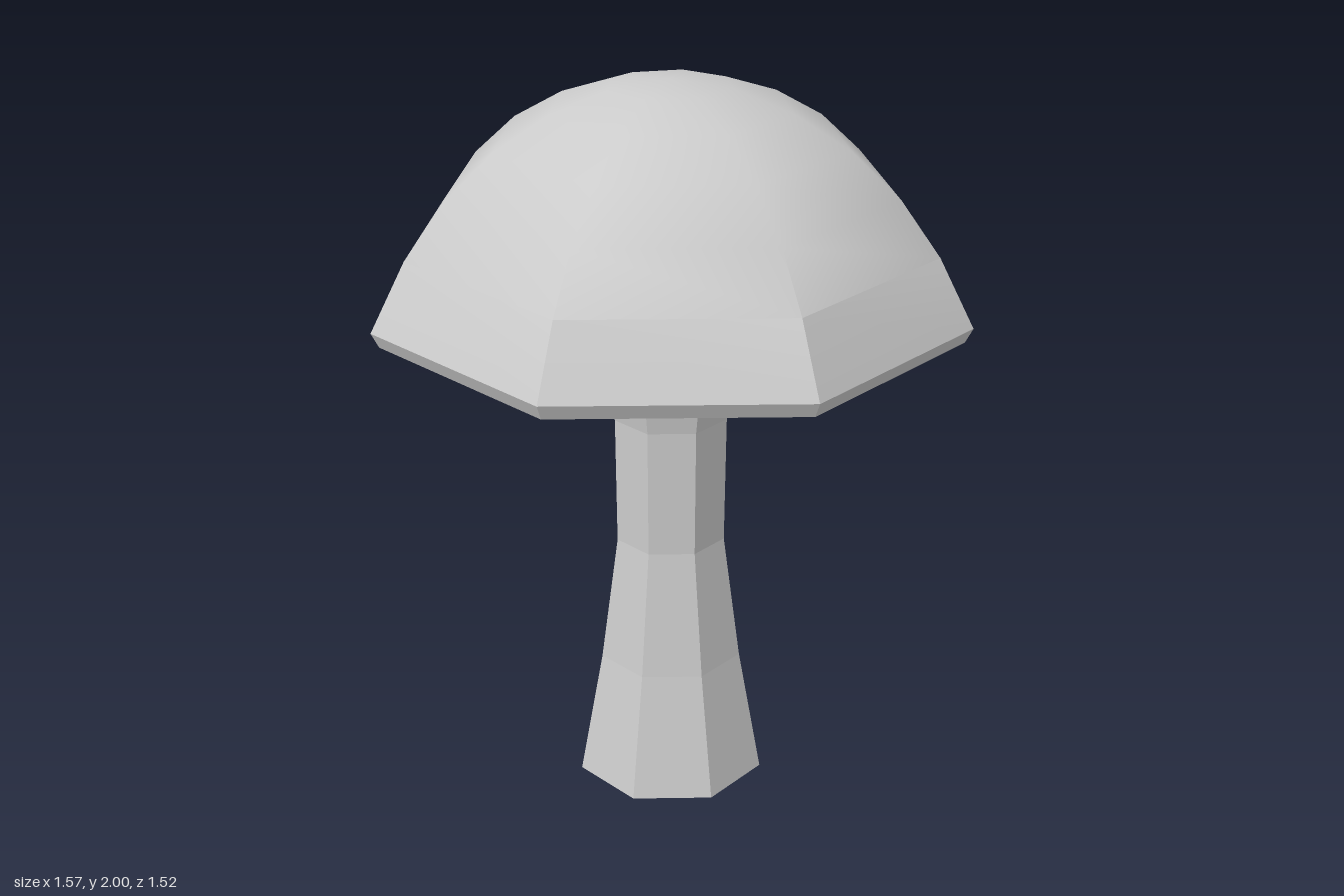
import * as THREE from 'three';
import { toCreasedNormals } from 'three/addons/utils/BufferGeometryUtils.js';

// Seven wide sides (48 degrees) and one narrow side (24 degrees)
const sideAngle = (i) => THREE.MathUtils.degToRad(156 + 48 * i - (i >= 2 ? 24 : 0));

// Lathe a profile of [radius, y], then respace its sides unevenly
function unevenLathe(profile) {
  const points = profile.map(([r, y]) => new THREE.Vector2(r, y));
  const geometry = new THREE.LatheGeometry(points, 8);
  const position = geometry.attributes.position;
  for (let k = 0; k < position.count; k++) {
    const angle = sideAngle(Math.floor(k / points.length));
    const { x: r, y } = points[k % points.length];
    position.setXYZ(k, r * Math.sin(angle), y, r * Math.cos(angle));
  }
  return geometry;
}

export function createModel() {
  const group = new THREE.Group();
  group.name = 'mushroom';
  const smooth = new THREE.MeshStandardMaterial({ color: 0xcccccc });
  const faceted = new THREE.MeshStandardMaterial({ color: 0xcccccc, flatShading: true });

  const add = (name, geometry, material) => {
    const mesh = new THREE.Mesh(geometry, material);
    mesh.name = name;
    mesh.position.set(0.013, 0, -0.025);
    group.add(mesh);
  };

  // Stem: flared foot, narrow waist, top hidden in the cap's recess
  add('stem', unevenLathe([
    [0, 0], [0.271, 0], [0.204, 0.36], [0.155, 0.72], [0.159, 1.08], [0.22, 1.44], [0, 1.44],
  ]), faceted);

  // Underside: shallow recess around the stem, flat gill area, bevelled rim
  add('capUnderside', unevenLathe([
    [0, 1.5], [0.48, 1.355], [0.785, 1.37], [0.805, 1.41],
  ]), faceted);

  // Dome: smooth crown with a creased lowest band
  add('capDome', toCreasedNormals(unevenLathe([
    [0.805, 1.41], [0.71, 1.59], [0.605, 1.73], [0.475, 1.845], [0.325, 1.93], [0.165, 1.985], [0, 2],
  ]), 0.69), smooth);

  return group;
}
